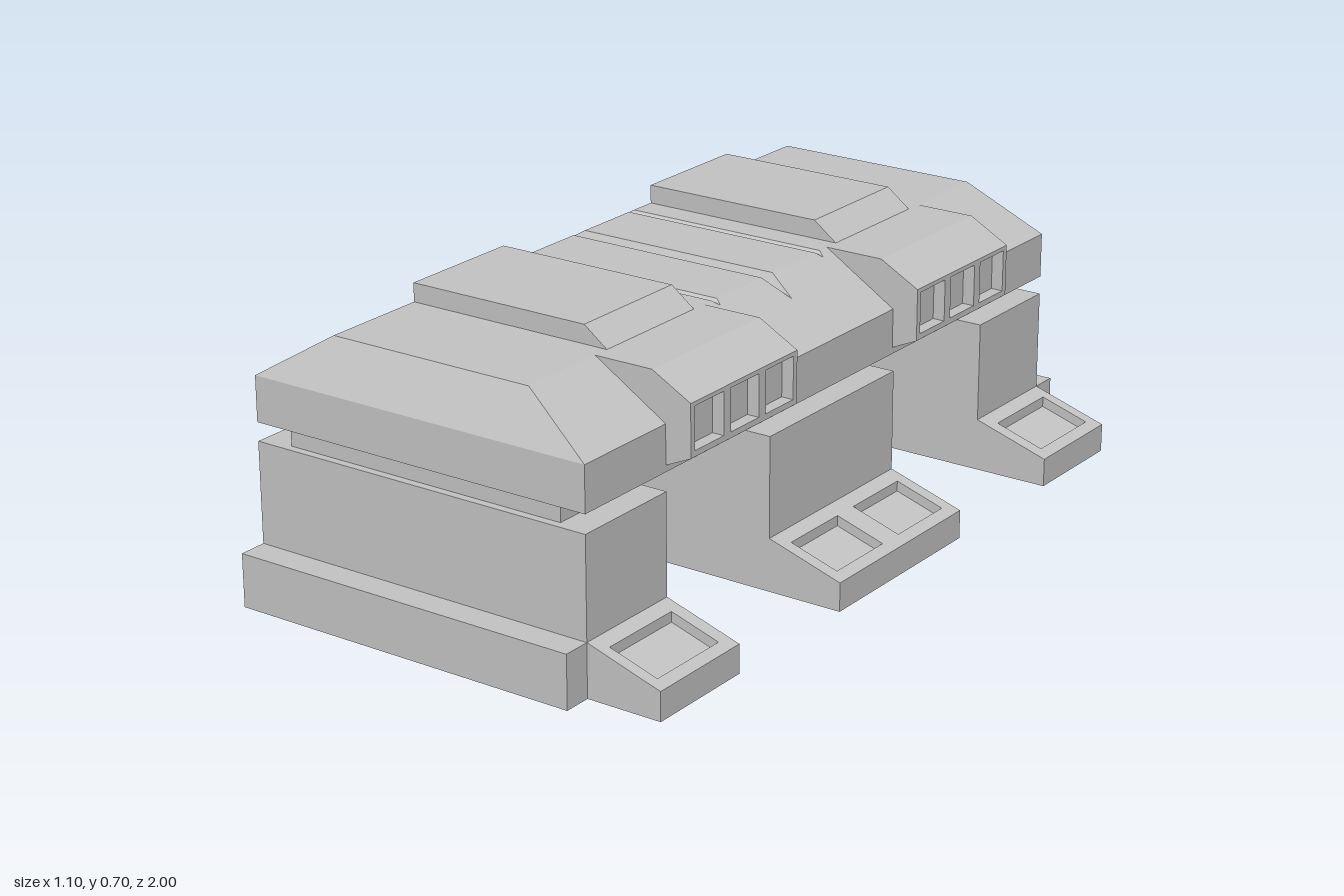
import * as THREE from 'three';

const grey = new THREE.MeshStandardMaterial({ color: 0xc4c4c4 });
grey.name = 'light grey';

// Shape from a point list, with optional rectangular holes [x0, x1, y0, y1]
function shapeOf(points, holes = []) {
  const shape = new THREE.Shape(points.map(([x, y]) => new THREE.Vector2(x, y)));
  for (const [a, b, c, d] of holes) {
    shape.holes.push(new THREE.Path([[a, c], [a, d], [b, d], [b, c]].map(([x, y]) => new THREE.Vector2(x, y))));
  }
  return shape;
}

const rect = (a, b, c, d) => [[a, c], [b, c], [b, d], [a, d]];

function extrude(shape, depth) {
  return new THREE.ExtrudeGeometry(shape, { depth, bevelEnabled: false });
}

// (x, y) profile running from z0 to z1
function prism(points, z0, z1) {
  return extrude(shapeOf(points), z1 - z0).translate(0, 0, z0);
}

// Hipped roof lofted along z; each station gives [z, crest height]
function roofGeometry() {
  const half = [[0.93, 0.54], [0.875, 0.655], [0.217, 0.655], [0.207, 0.645], [0.197, 0.655], [0.022, 0.655]];
  const stations = [...half, [0, 0.612], ...half.slice().reverse().map(([z, h]) => [-z, h])];
  const rings = stations.map(([z, h]) => {
    const inset = 0.185 * (h - 0.54) / 0.115;
    return [[-0.55, 0.43, z], [0.355, 0.43, z], [0.355, 0.54, z],
      [0.355 - inset, h, z], [-0.55 + inset, h, z], [-0.55, 0.54, z]];
  });
  const out = [];
  for (let s = 0; s < rings.length - 1; s++) {
    const a = rings[s], b = rings[s + 1];
    for (let i = 0; i < 6; i++) {
      const j = (i + 1) % 6;
      out.push(...a[i], ...b[i], ...b[j], ...a[i], ...b[j], ...a[j]);
    }
  }
  const f = rings[0], k = rings[rings.length - 1];
  out.push(...f[0], ...f[1], ...f[2], ...f[0], ...f[2], ...f[5]);
  out.push(...k[0], ...k[2], ...k[1], ...k[0], ...k[5], ...k[2]);
  const geo = new THREE.BufferGeometry();
  geo.setAttribute('position', new THREE.Float32BufferAttribute(out, 3));
  geo.computeVertexNormals();
  return geo;
}

// Sloping frame on top of a foot, pierced by shallow wells
function footFrame(z0, z1, wells) {
  const holes = wells.map(([a, b]) => [0.392, 0.515, -b, -a]);
  const geo = extrude(shapeOf(rect(0.355, 0.545, -z1, -z0), holes), 0.025).rotateX(-Math.PI / 2);
  const p = geo.attributes.position;
  for (let i = 0; i < p.count; i++) {
    p.setY(i, p.getY(i) + 0.115 - (p.getX(i) - 0.355) * 0.06 / 0.19);
  }
  geo.computeVertexNormals();
  return geo;
}

export function createModel() {
  const model = new THREE.Group();
  model.name = 'bunkerBuilding';
  const add = (name, geo) => {
    const mesh = new THREE.Mesh(geo, grey);
    mesh.name = name;
    model.add(mesh);
  };

  add('roof', roofGeometry());

  // Three piers, each with a recessed neck and a sloped foot
  const piers = [
    { z: [0.645, 0.93], neck: [0.66, 0.91], wells: [[0.68, 0.9]] },
    { z: [-0.255, 0.255], neck: [-0.23, 0.23], wells: [[-0.222, -0.033], [0.033, 0.222]] },
    { z: [-0.93, -0.645], neck: [-0.91, -0.66], wells: [[-0.9, -0.68]] },
  ];
  for (const { z, neck, wells } of piers) {
    add('pier', prism(rect(-0.55, 0.355, 0.01, 0.385), ...z));
    add('neck', prism(rect(-0.47, 0.275, 0.38, 0.435), ...neck));
    add('foot', prism([[0.35, 0.01], [0.545, 0.01], [0.545, 0.055], [0.355, 0.115], [0.35, 0.115]], ...z));
    add('footFrame', footFrame(...z, wells));
  }

  // Parts repeated at both ends
  for (const s of [-1, 1]) {
    const span = (a, b) => (s > 0 ? [a, b] : [-b, -a]);
    add('baseLedge', prism(rect(-0.55, 0.355, 0.01, 0.14), ...span(0.925, 1)));
    add('bayBackWall', prism(rect(-0.54, -0.365, 0, 0.435), ...span(0.18, 0.7)));
    add('roofHatch', prism([[-0.365, 0.64], [0.17, 0.64], [0.17, 0.655], [0.11, 0.7], [-0.365, 0.7]], ...span(0.285, 0.605)));

    // Dormer body with a slot for the window frame
    const [z0, z1] = span(0.247, 0.647);
    add('dormer', prism([[0.15, 0.432], [0.325, 0.432], [0.42, 0.475], [0.39, 0.475],
      [0.39, 0.6], [0.42, 0.6], [0.32, 0.655], [0.15, 0.655]], z0, z1));
    const windows = [0, 1, 2].map((i) => {
      const c = -(z0 + z1) / 2 + (i - 1) * 0.132;
      return [c - 0.053, c + 0.053, 0.489, 0.59];
    });
    add('windowFrame', extrude(shapeOf(rect(-z1, -z0, 0.475, 0.6), windows), 0.03)
      .rotateY(Math.PI / 2).translate(0.39, 0, 0));
  }
  return model;
}
